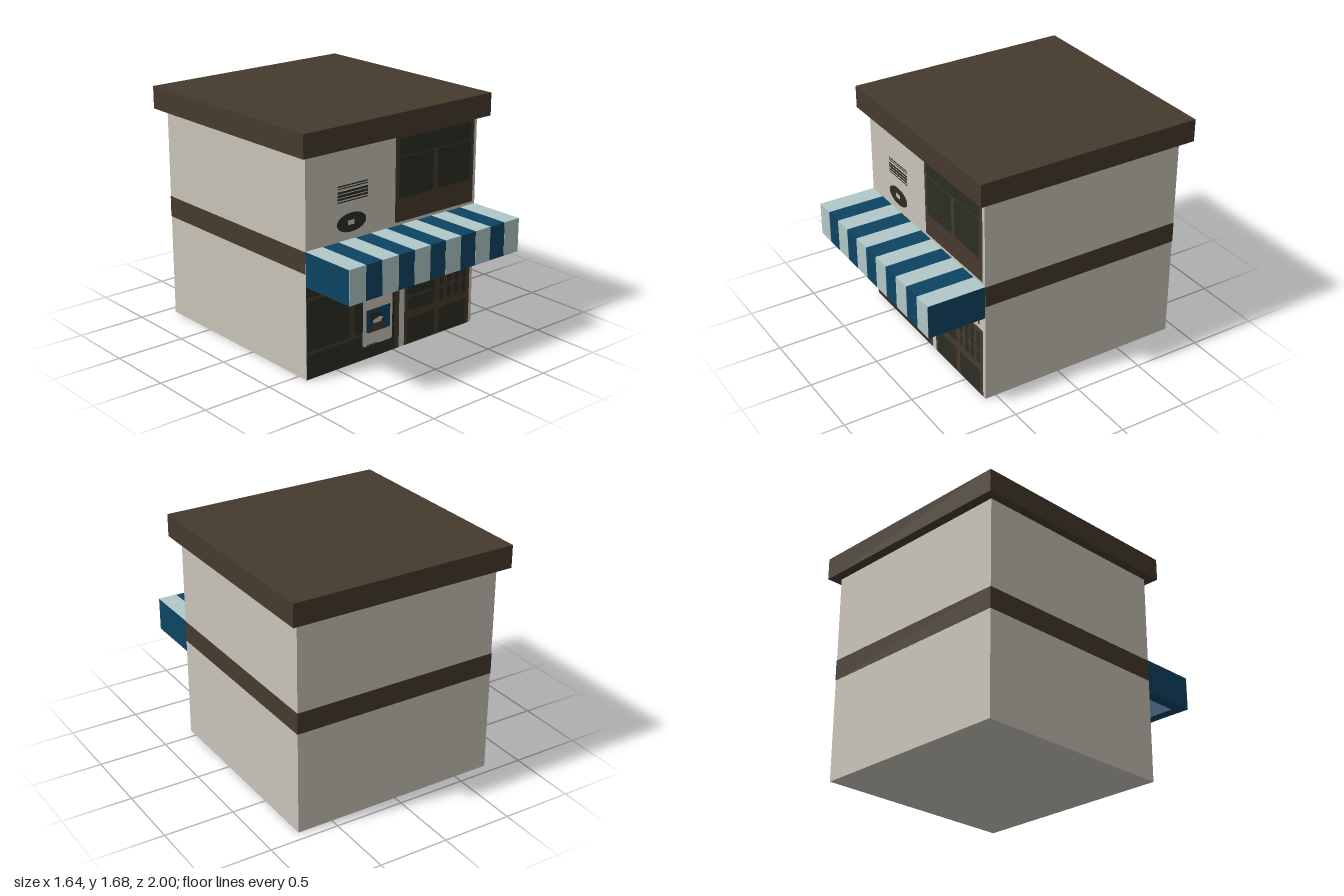
import * as THREE from 'three';

const paint = (name, color) => {
  const m = new THREE.MeshStandardMaterial({ color });
  m.name = name;
  return m;
};

export function createModel() {
  const model = new THREE.Group();
  model.name = 'shop';
  const plaster = paint('plaster', 0xc9c4b9);
  const brown = paint('brown wood', 0x463a2d);
  const glass = paint('dark glass', 0x2c2d22);
  const blue = paint('blue cloth', 0x0c4463);
  const pale = paint('pale cloth', 0xb1c8c8);
  const FRONT = 0.58;

  // Box given by its limits on each axis
  function box(name, mat, x0, x1, y0, y1, z0, z1, parent = model) {
    const mesh = new THREE.Mesh(new THREE.BoxGeometry(x1 - x0, y1 - y0, z1 - z0), mat);
    mesh.position.set((x0 + x1) / 2, (y0 + y1) / 2, (z0 + z1) / 2);
    mesh.name = name;
    parent.add(mesh);
    return mesh;
  }

  // Rectangle with small cut corners
  function rect([x0, x1, y0, y1], c = 0) {
    const s = new THREE.Shape();
    s.moveTo(x0 + c, y0);
    s.lineTo(x1 - c, y0);
    if (c) s.lineTo(x1, y0 + c);
    s.lineTo(x1, y1 - c);
    if (c) s.lineTo(x1 - c, y1);
    s.lineTo(x0 + c, y1);
    if (c) s.lineTo(x0, y1 - c);
    s.lineTo(x0, y0 + c);
    return s;
  }
  const poly = (pts) => new THREE.Shape(pts.map(([x, y]) => new THREE.Vector2(x, y)));

  // Flat painted face on the facade, stacked by layer
  function face(name, mat, layer, shapes, parent = model) {
    const mesh = new THREE.Mesh(new THREE.ShapeGeometry(shapes, 24), mat);
    mesh.position.z = FRONT + 0.002 * layer;
    mesh.name = name;
    parent.add(mesh);
  }
  const panes = (list) => list.map((r) => rect(r, 0.012));

  // Building body, band on the sides and back, roof slab
  box('walls', plaster, -0.755, 0.755, 0, 1.52, -0.93, FRONT);
  box('wallBand', brown, -0.757, 0.757, 0.735, 0.885, -0.932, FRONT - 0.001);
  box('roof', brown, -0.82, 0.82, 1.52, 1.68, -1, 0.645);

  // Upper window
  const upper = new THREE.Group();
  upper.name = 'upperWindow';
  model.add(upper);
  face('upperFrame', brown, 1, rect([0.005, 0.73, 0.91, 1.503], 0.006), upper);
  face('upperPanes', glass, 2, panes([
    [0.037, 0.70, 1.363, 1.487], [0.037, 0.35, 1.073, 1.355], [0.388, 0.70, 1.073, 1.355],
  ]), upper);

  // Slatted vent and oval ornament
  face('ventSlats', glass, 1, [
    [1.256, 1.265], [1.241, 1.248], [1.211, 1.226], [1.187, 1.205], [1.167, 1.181], [1.15, 1.158],
  ].map(([a, b]) => rect([-0.492, -0.238, a, b])));
  const oval = new THREE.Shape();
  oval.absellipse(-0.375, 1.005, 0.125, 0.065, 0, Math.PI * 2);
  oval.holes.push(rect([-0.407, -0.352, 0.988, 1.02]));
  face('ovalOrnament', glass, 1, oval);

  // Shop window
  const shop = new THREE.Group();
  shop.name = 'shopWindow';
  model.add(shop);
  face('shopFrame', brown, 1, rect([-0.755, 0.055, 0, 0.735]), shop);
  face('shopPanes', glass, 2, panes([
    [-0.755, 0.02, 0.572, 0.71], [-0.755, -0.39, 0.197, 0.548],
    [-0.343, 0.015, 0.197, 0.548], [-0.755, 0.015, 0.005, 0.175],
  ]), shop);

  // Poster with a simple abstract picture
  const poster = new THREE.Group();
  poster.name = 'poster';
  model.add(poster);
  face('posterSheet', plaster, 3, rect([-0.277, -0.012, 0.093, 0.44], 0.01), poster);
  face('posterSky', blue, 4, rect([-0.245, -0.033, 0.19, 0.352]), poster);
  face('posterMound', brown, 5, poly([
    [-0.235, 0.186], [-0.04, 0.186], [-0.06, 0.215], [-0.11, 0.243], [-0.17, 0.243], [-0.215, 0.215],
  ]), poster);
  face('posterCloud', plaster, 5, poly([
    [-0.185, 0.246], [-0.12, 0.246], [-0.1, 0.275], [-0.135, 0.285], [-0.19, 0.268],
  ]), poster);
  face('posterShape', glass, 5, poly([
    [-0.22, 0.255], [-0.19, 0.272], [-0.135, 0.288], [-0.1, 0.29], [-0.1, 0.305],
    [-0.15, 0.315], [-0.185, 0.335], [-0.222, 0.325], [-0.21, 0.29],
  ]), poster);
  face('posterLine', brown, 4, rect([-0.24, -0.15, 0.096, 0.102]), poster);

  // Door with panels and two rows of small lights
  const door = new THREE.Group();
  door.name = 'door';
  model.add(door);
  face('doorLeaf', brown, 1, rect([0.103, 0.727, 0, 0.532], 0.006), door);
  const lights = [
    [0.13, 0.388, 0.355, 0.51], [0.13, 0.388, 0.247, 0.343],
    [0.13, 0.388, 0.008, 0.192], [0.433, 0.69, 0.008, 0.192],
  ];
  [[0.434, 0.468], [0.502, 0.552], [0.571, 0.621], [0.648, 0.69]].forEach(([a, b]) => {
    lights.push([a, b, 0.355, 0.5], [a, b, 0.25, 0.343]);
  });
  face('doorPanes', glass, 2, panes(lights), door);

  // Lamp hangers and panel beneath the awning
  face('hangers', brown, 1, [rect([0.127, 0.142, 0.56, 0.735]), rect([0.668, 0.685, 0.56, 0.735])]);
  face('signBoard', brown, 1, rect([0.205, 0.612, 0.643, 0.735]));

  // Awning: hollow blue shell, pale stripes wrapped over top and front
  const awning = new THREE.Group();
  awning.name = 'awning';
  model.add(awning);
  const W = 0.755, top = 0.89, low = 0.65, nose = 1;
  box('awningTop', blue, -W, W, 0.81, top - 0.002, FRONT, nose - 0.002, awning);
  box('awningFront', blue, -W, W, low, 0.81, 0.92, nose - 0.002, awning);
  box('awningBack', blue, -W, W, low, 0.81, FRONT, 0.66, awning);
  for (const s of [-1, 1]) {
    const a = s * W, b = s * (W - 0.08);
    box('awningSide', blue, Math.min(a, b), Math.max(a, b), low, 0.81, 0.66, 0.92, awning);
  }
  const step = (2 * W) / 11;
  for (let i = 0; i < 11; i += 2) {
    const x = -W + i * step;
    box('stripeTop', pale, x, x + step, top - 0.002, top, FRONT, nose, awning);
    box('stripeFront', pale, x, x + step, low, top - 0.002, nose - 0.002, nose, awning);
  }
  return model;
}
